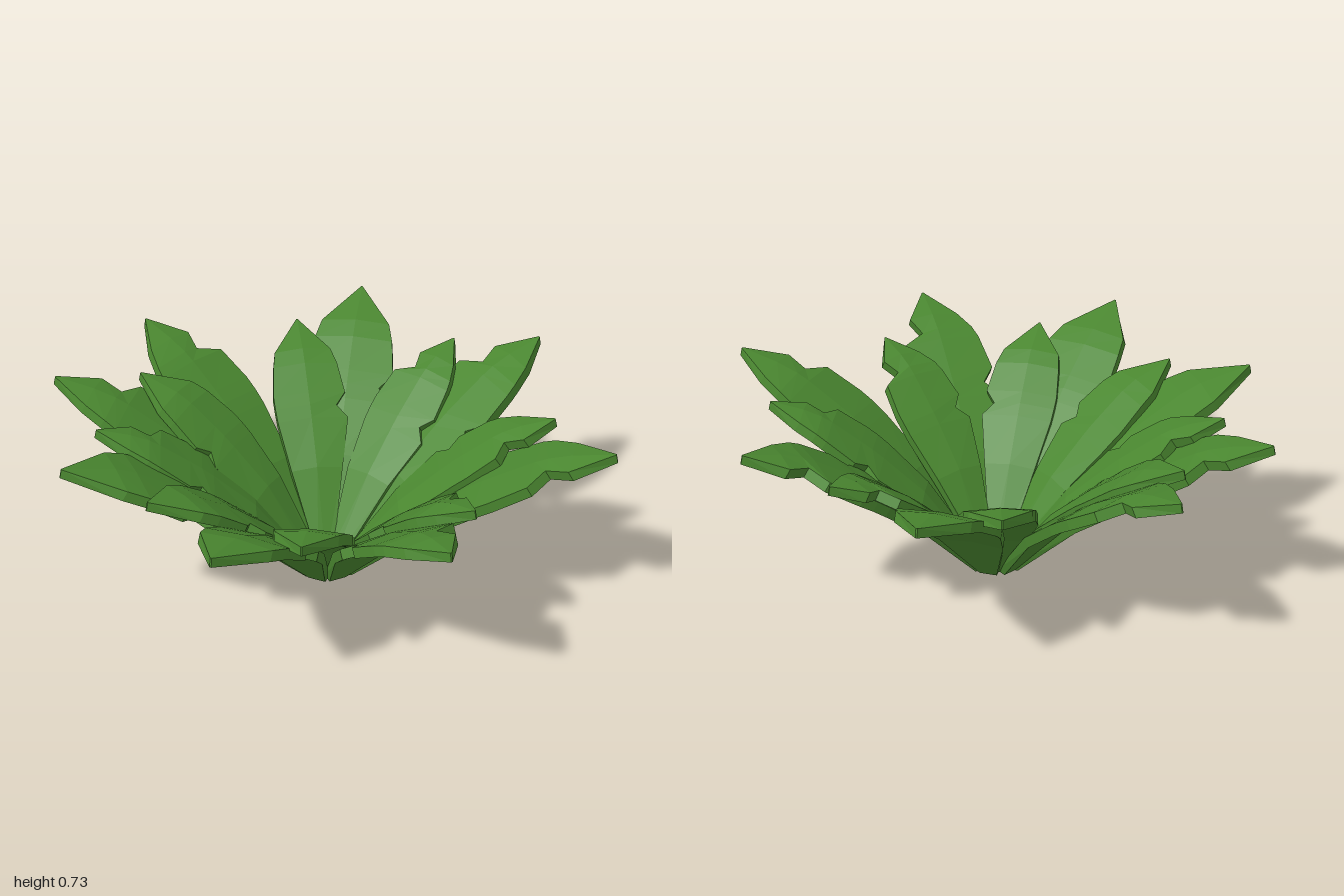
import * as THREE from 'three';

// Leaf rows: distance along the leaf, left edge, right edge, height of the underside
const body = [
  [0.10, -0.035, 0.035, 0],
  [0.34, -0.125, 0.125, 0.28],
  [0.52, -0.165, 0.18, 0.435],
  [0.57, -0.17, 0.13, 0.475],
  [0.62, -0.172, 0.18, 0.51],
  [0.745, -0.155, 0.16, 0.595],
];
const end = [[1, -0.003, 0.003, 0.695]];
// One variant has a notch below the tip, the other a plain pointed end
const notched = [...body, [0.79, -0.065, 0.145, 0.62], [0.87, -0.095, 0.105, 0.65], ...end];
const plain = [...body, [0.82, -0.138, 0.138, 0.632], ...end];

const centre = [0.02, 0];

// Tip x, tip z, row set, mirror
const outer = [
  [0.15, -1.0, notched, 1], [0.93, -0.61, notched, -1],
  [0.98, 0.26, notched, 1], [0.48, 0.90, plain, -1],
  [-0.29, 0.99, plain, -1], [-0.84, 0.65, notched, -1],
  [-0.98, 0.12, notched, -1], [-0.62, -0.73, plain, 1],
];
const inner = [
  [-0.13, -0.80, notched, 1], [0.56, -0.68, notched, -1],
  [0.80, -0.03, notched, 1], [0.57, 0.58, plain, -1],
  [0.01, 0.83, plain, -1], [-0.50, 0.70, notched, -1],
  [-0.73, 0.33, plain, -1], [-0.66, -0.41, plain, 1],
];

// Thick faceted leaf, lofted through rings of six points
function leafGeometry([tx, tz, rows, mirror], widthScale, heightScale) {
  const dx = tx - centre[0], dz = tz - centre[1];
  const length = Math.hypot(dx, dz);
  const c = dx / length, s = dz / length;
  const point = (u, v, y) => [centre[0] + c * u - s * v, y, centre[1] + s * u + c * v];

  const rings = rows.map(([u, l, r, h], i) => {
    const left = (mirror > 0 ? l : -r) * widthScale;
    const right = (mirror > 0 ? r : -l) * widthScale;
    const isBase = i === 0, isTip = i === rows.length - 1;
    const back = isBase ? 0.045 : isTip ? 0.008 : 0.022; // top surface leans inward
    const rise = isBase ? 0 : 0.034;
    const ridge = isBase || isTip ? 0 : 0.012; // raised midrib
    const d = u * length, y = h * heightScale;
    return [
      point(d - back, left, y + rise), point(d - back, 0, y + rise + ridge),
      point(d - back, right, y + rise),
      point(d, right, y), point(d, 0, y + ridge), point(d, left, y),
    ];
  });

  const positions = [];
  const quad = (p, q, r, t) => positions.push(...p, ...q, ...r, ...p, ...r, ...t);
  for (let i = 0; i < rings.length - 1; i++) {
    for (let k = 0; k < 6; k++) {
      const n = (k + 1) % 6;
      quad(rings[i][k], rings[i][n], rings[i + 1][n], rings[i + 1][k]);
    }
  }
  // Close the foot and the tip
  const foot = rings[0], tip = rings[rings.length - 1];
  quad(foot[5], foot[4], foot[1], foot[0]);
  quad(foot[4], foot[3], foot[2], foot[1]);
  quad(tip[0], tip[1], tip[4], tip[5]);
  quad(tip[1], tip[2], tip[3], tip[4]);

  const geometry = new THREE.BufferGeometry();
  geometry.setAttribute('position', new THREE.Float32BufferAttribute(positions, 3));
  geometry.computeVertexNormals(); // unshared corners give flat facets
  return geometry;
}

export function createModel() {
  const plant = new THREE.Group();
  plant.name = 'leafyPlant';
  const leafGreen = new THREE.MeshStandardMaterial({ color: 0x4a8730 });
  leafGreen.name = 'leafGreen';

  // Two rosettes: long outer leaves and shorter, steeper inner leaves
  const addRosette = (name, leaves, widthScale, heightScale) => {
    const rosette = new THREE.Group();
    rosette.name = name + 'Leaves';
    leaves.forEach((leaf, i) => {
      const mesh = new THREE.Mesh(leafGeometry(leaf, widthScale, heightScale), leafGreen);
      mesh.name = `${name}Leaf${i + 1}`;
      rosette.add(mesh);
    });
    plant.add(rosette);
  };
  addRosette('outer', outer, 1, 1);
  addRosette('inner', inner, 0.82, 0.92);
  return plant;
}
